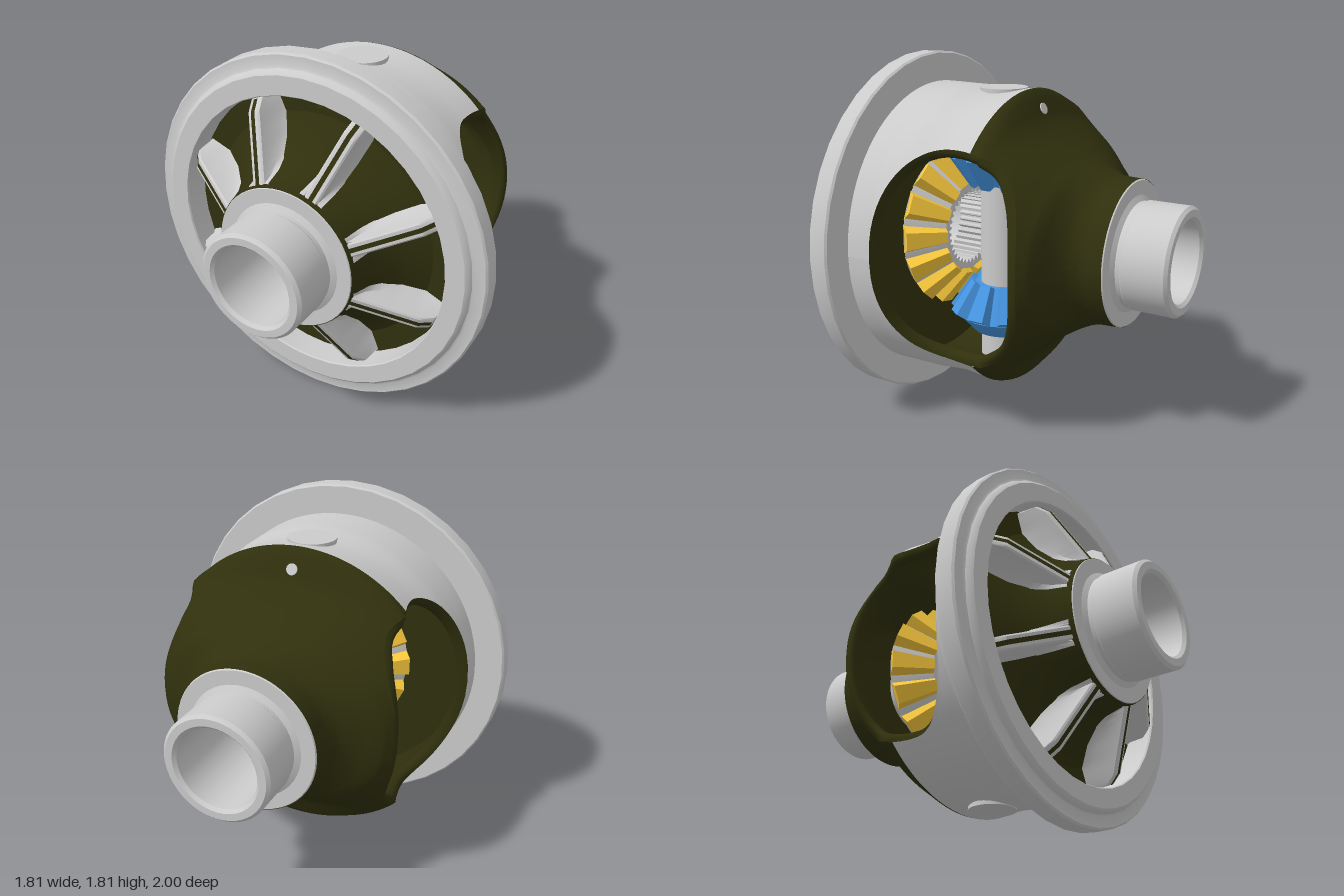
import * as THREE from 'three';
import { toCreasedNormals, mergeGeometries } from 'three/addons/utils/BufferGeometryUtils.js';

const mat = (color) => new THREE.MeshStandardMaterial({ color, side: THREE.DoubleSide });
const GREY = mat(0xcccccc), DARK = mat(0x30300e), YELLOW = mat(0xf8c83c), BLUE = mat(0x4595e0);

function mesh(name, geo, material, parent) {
  const m = new THREE.Mesh(geo, material);
  m.name = name;
  parent.add(m);
  return m;
}

// Closed profile of [radius, z] pairs turned about the z axis
function turned(pts, seg = 48) {
  const g = new THREE.LatheGeometry([...pts, pts[0]].map(([r, z]) => new THREE.Vector2(r, z)), seg);
  g.rotateX(Math.PI / 2);
  return toCreasedNormals(g, 0.5);
}

// Surface through rows of points
function loft(rows) {
  const n = rows[0].length, idx = [];
  for (let i = 0; i < rows.length - 1; i++)
    for (let j = 0; j < n - 1; j++) {
      const a = i * n + j, b = a + 1, c = a + n, d = c + 1;
      idx.push(a, b, c, b, d, c);
    }
  const g = new THREE.BufferGeometry();
  g.setAttribute('position', new THREE.Float32BufferAttribute(rows.flat(2), 3));
  g.setIndex(idx);
  g.computeVertexNormals();
  return g;
}

// Case sections: z, half width, half height, roundness exponent
const CASE = [
  [-0.73, 0.36, 0.36, 2], [-0.62, 0.365, 0.365, 2], [-0.57, 0.4, 0.38, 2], [-0.52, 0.48, 0.4, 2.1],
  [-0.49, 0.57, 0.415, 2.2], [-0.45, 0.61, 0.44, 2.3], [-0.4, 0.655, 0.475, 2.5], [-0.34, 0.715, 0.52, 2.6],
  [-0.28, 0.74, 0.575, 2.6], [-0.24, 0.74, 0.62, 2.6], [-0.2, 0.74, 0.72, 2.2], [-0.18, 0.745, 0.743, 2], [-0.16, 0.75, 0.75, 2],
  [-0.08, 0.741, 0.741, 2], [0, 0.736, 0.736, 2], [0.08, 0.741, 0.741, 2], [0.16, 0.75, 0.75, 2], [0.41, 0.755, 0.755, 2],
];
const T = 0.06;
function caseAt(z) {
  let i = 0;
  while (i < CASE.length - 2 && z > CASE[i + 1][0]) i++;
  const t = (z - CASE[i][0]) / (CASE[i + 1][0] - CASE[i][0]);
  return CASE[i].map((v, k) => v + (CASE[i + 1][k] - v) * t);
}

// Side window, flaring towards the outer skin with a rounded lip
function windowAt(inset) {
  const f = (1 - inset / T) ** 2;
  const z0 = -0.395 - 0.045 * f, z1 = 0.265 + 0.01 * f;
  return { mid: (z0 + z1) / 2, half: (z1 - z0) / 2, height: 0.475 + 0.045 * f };
}
function windowHalf(z, inset) {
  const w = windowAt(inset), t = Math.abs((z - w.mid) / w.half);
  return t > 0.99999 ? 0 : w.height * Math.pow(1 - Math.pow(t, 2.6), 1 / 2.6);
}
function windowZs(inset) {
  const w = windowAt(inset);
  return Array.from({ length: 37 }, (_, i) => w.mid - Math.cos(Math.PI * i / 36) * w.half);
}

// Upper arc of the case at z, from one window edge to the other
function arc(z, inset, steps = 40) {
  const [, rx, ry, n] = caseAt(z), a = rx - inset, b = ry - inset;
  const a0 = Math.asin(Math.min(1, Math.pow(windowHalf(z, inset) / b, n / 2)));
  return Array.from({ length: steps + 1 }, (_, j) => {
    const t = a0 + (Math.PI - 2 * a0) * j / steps, c = Math.cos(t), s = Math.max(0, Math.sin(t));
    return [a * Math.sign(c) * Math.pow(Math.abs(c), 2 / n), b * Math.pow(s, 2 / n), z];
  });
}

function buildCase(root) {
  const sections = (inset) => {
    const zs = [-0.16, 0.34, 0.41, ...windowZs(inset)];
    for (let z = -0.73; z < windowAt(inset).mid - windowAt(inset).half - 0.005; z += 0.02) zs.push(z);
    return zs.sort((p, q) => p - q);
  };
  const outer = sections(0), inner = sections(T).filter((z) => z > -0.53 && z < 0.4);
  const innerRows = inner.map((z) => arc(z, T));
  innerRows.unshift(innerRows[0].map((_, j) => {
    const t = Math.PI * j / 40;
    return [0.2 * Math.cos(t), 0.2 * Math.sin(t), inner[0]];
  }));
  const lip = [1, 0.75, 0.5, 0.3, 0.15, 0].map((f) => f * T);
  for (const half of [0, 1]) {
    const g = new THREE.Group();
    g.name = half ? 'lowerCaseHalf' : 'upperCaseHalf';
    g.rotation.z = half * Math.PI;
    root.add(g);
    mesh('machinedCaseBand', loft(outer.filter((z) => z >= -0.16).map((z) => arc(z, 0))), GREY, g);
    mesh('rearDome', loft(outer.filter((z) => z <= -0.16).map((z) => arc(z, 0))), DARK, g);
    mesh('caseLining', loft(innerRows), DARK, g);
    for (const end of [0, 40])
      mesh('windowLip', loft(lip.map((inset) => windowZs(inset).map((z) => arc(z, inset)[end]))), DARK, g);
  }
}

// Front web height at a radius
const WEB = [[0.36, 0.73], [0.375, 0.64], [0.42, 0.55], [0.5, 0.47], [0.6, 0.41]];
function webZ(r) {
  for (let i = 0; i < WEB.length - 1; i++)
    if (r <= WEB[i + 1][0]) {
      const t = Math.max(0, (r - WEB[i][0]) / (WEB[i + 1][0] - WEB[i][0]));
      return WEB[i][1] + (WEB[i + 1][1] - WEB[i][1]) * t;
    }
  return 0.41;
}

function buildFront(root) {
  mesh('ringFlange', turned([[0.715, 0.36], [0.75, 0.4], [0.898, 0.4], [0.907, 0.41], [0.907, 0.497], [0.898, 0.507],
    [0.85, 0.508], [0.838, 0.514], [0.828, 0.532], [0.815, 0.542], [0.722, 0.542], [0.717, 0.535], [0.717, 0.4]], 40), GREY, root);
  mesh('frontWeb', turned([[0.205, 0.36], [0.6, 0.36], ...WEB.slice().reverse(), [0.205, 0.73]]), DARK, root);

  // Flat outer web with its drain hole
  const ring = new THREE.Shape().absarc(0, 0, 0.725, 0, Math.PI * 2);
  ring.holes.push(new THREE.Path().absarc(0, 0, 0.595, 0, Math.PI * 2, true));
  ring.holes.push(new THREE.Path().absarc(0, 0.655, 0.03, 0, Math.PI * 2, true));
  const plate = new THREE.ExtrudeGeometry(ring, { depth: 0.05, bevelEnabled: false, curveSegments: 32 });
  mesh('outerWeb', plate.translate(0, 0, 0.36), DARK, root);

  // Ribs: sloping flanks with a narrow cast ridge
  const flank = [], ridge = [];
  for (let i = 0; i <= 16; i++) {
    const r = 0.34 + 0.365 * i / 16, base = webZ(r) - 0.01;
    const top = Math.max(base, 0.72 - 0.18 * i / 16 - 0.03 * Math.max(0, i - 14) / 2);
    const mid = base + (top - base) * 0.3;
    flank.push([[r, -0.06, base], [r, -0.04, mid], [r, -0.034, top - 0.008], [r, -0.026, top],
      [r, 0.026, top], [r, 0.034, top - 0.008], [r, 0.04, mid], [r, 0.06, base]]);
    ridge.push([[r, -0.011, top + 0.003], [r, 0.011, top + 0.003]]);
  }
  flank.push(flank[16].map(([r, y]) => [r + 0.008, y, 0.4]));
  const flankGeo = toCreasedNormals(loft(flank), 0.6), ridgeGeo = loft(ridge);
  for (let k = 0; k < 8; k++) {
    const g = new THREE.Group();
    g.name = 'webRib';
    g.rotation.z = (k + 0.5) * Math.PI / 4;
    mesh('ribFlanks', flankGeo, GREY, g);
    mesh('ribRidge', ridgeGeo, DARK, g);
    root.add(g);
  }
}

// Bevel gear along +z with its cone apex at the origin; tips run from inner to outer [radius, z]
function bevelGear(name, teeth, inner, outer, bore, back, bodyMat, toothMat) {
  const g = new THREE.Group();
  g.name = name;
  const ang = Math.atan2(outer[0] - inner[0], outer[1] - inner[1]);
  const drop = ([r, z], d) => [r - d * Math.cos(ang), z + d * Math.sin(ang)];
  const ri = drop(inner, 0.03), ro = drop(outer, 0.055);
  mesh('gearBody', turned([[bore, ri[1]], ri, ro, [ro[0] - 0.06, back - 0.02], [ro[0] - 0.08, back], [bore, back]]), bodyMat, g);
  const parts = [];
  for (let k = 0; k < teeth; k++) {
    const box = new THREE.BoxGeometry(1, 1, 1), p = box.attributes.position;
    for (let i = 0; i < p.count; i++) {
      const tip = p.getY(i) > 0, out = p.getZ(i) > 0;
      const [r, z] = tip ? (out ? outer : inner) : drop(out ? ro : ri, 0.012);
      const a = Math.PI * 2 / teeth * (k + 0.5 + p.getX(i) * (tip ? 0.48 : 0.86));
      p.setXYZ(i, r * Math.sin(a), r * Math.cos(a), z);
    }
    box.computeVertexNormals();
    parts.push(box);
  }
  mesh('gearTeeth', mergeGeometries(parts), toothMat, g);
  return g;
}

function buildGears(root) {
  // Splined sleeve inside each side gear
  const sleeve = new THREE.Shape().absarc(0, 0, 0.215, 0, Math.PI * 2);
  const spline = [];
  for (let i = 0; i < 36 * 4; i++) {
    const a = -Math.PI * 2 * i / 144, r = i % 4 < 2 ? 0.183 : 0.2;
    spline.push(new THREE.Vector2(r * Math.cos(a), r * Math.sin(a)));
  }
  sleeve.holes.push(new THREE.Path(spline));
  const sleeveGeo = new THREE.ExtrudeGeometry(sleeve, { depth: 0.2, bevelEnabled: false, curveSegments: 24 });
  sleeveGeo.translate(0, 0, 0.205);
  for (const turn of [0, Math.PI]) {
    const side = bevelGear('sideGear', 14, [0.25, 0.18], [0.43, 0.305], 0.205, 0.42, GREY, YELLOW);
    mesh('splineSleeve', sleeveGeo, GREY, side);
    side.rotation.y = turn;
    root.add(side);
    const pinion = bevelGear('pinionGear', 10, [0.175, 0.25], [0.285, 0.41], 0.115, 0.53, BLUE, BLUE);
    pinion.rotation.x = turn - Math.PI / 2;
    root.add(pinion);
  }
  mesh('pinionShaft', new THREE.CylinderGeometry(0.12, 0.12, 1.498, 40), GREY, root);
}

export function createModel() {
  const model = new THREE.Group();
  model.name = 'differential';
  const root = new THREE.Group();
  root.name = 'differentialAssembly';
  root.position.y = 0.91;
  model.add(root);
  buildCase(root);
  buildFront(root);
  buildGears(root);

  // Bearing journals at both ends
  const journal = turned([[0.2, 0.4], [0.215, 0.4], [0.215, 0.72], [0.35, 0.72], [0.36, 0.725], [0.355, 0.735], [0.285, 0.735], [0.258, 0.75],
    [0.258, 0.77], [0.265, 0.78], [0.265, 0.985], [0.25, 1], [0.215, 1], [0.2, 0.985]]);
  mesh('frontJournal', journal, GREY, root);
  mesh('rearJournal', journal, GREY, root).rotation.y = Math.PI;

  // Drain hole spot on the rear dome
  const spot = mesh('rearDrainHole', new THREE.CylinderGeometry(0.028, 0.028, 0.02, 20), GREY, root);
  spot.position.set(0, 0.655, -0.222);
  spot.rotation.x = -1.19;
  return model;
}
